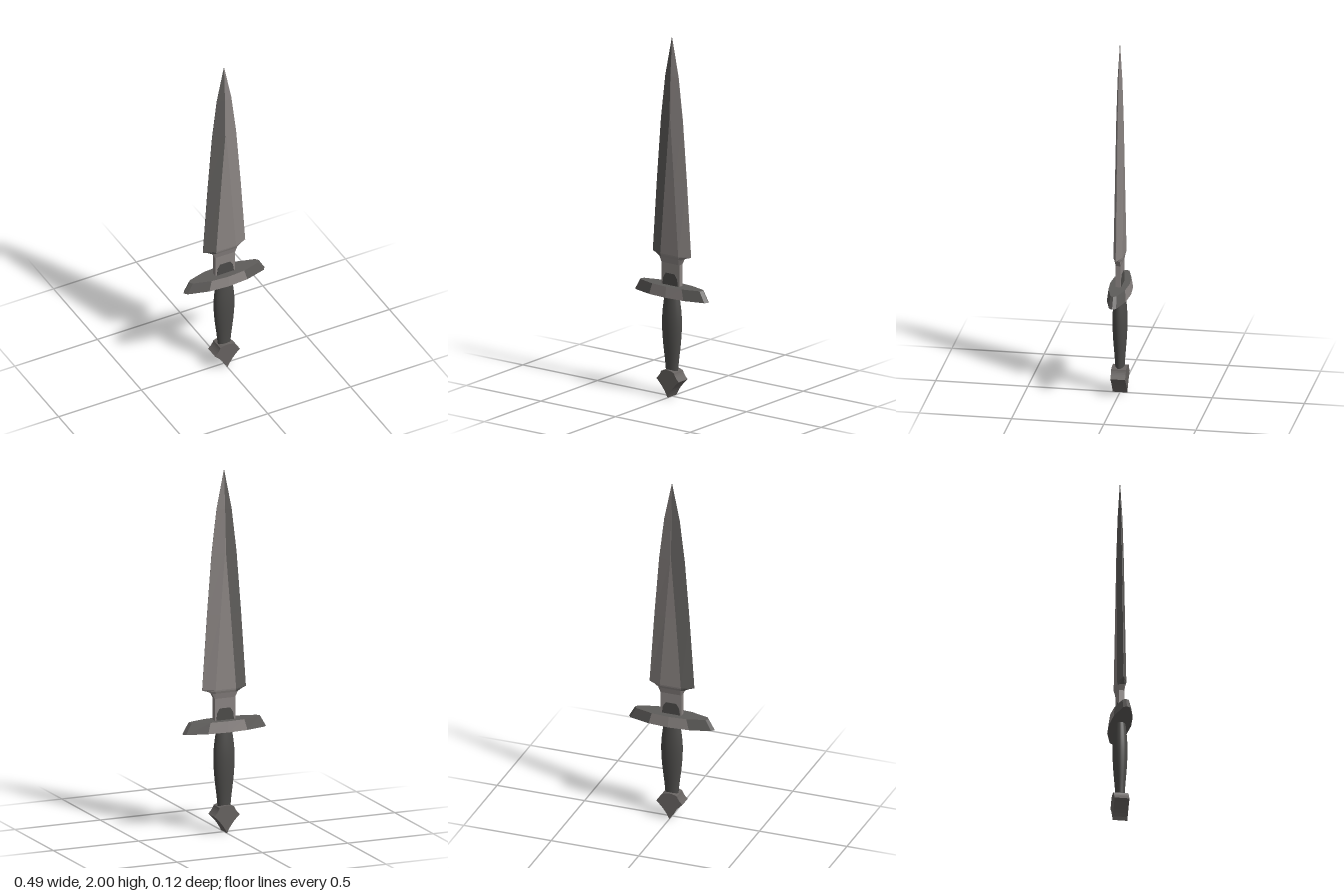
import * as THREE from 'three';

const mat = (name, color) => Object.assign(new THREE.MeshStandardMaterial({ color }), { name });

// Skins a stack of closed rings (each running +x, +z, -x, -z) with flat faces.
// isDark(level, side) picks material 1 instead of 0; both end caps use capIndex.
function loft(rings, isDark, capIndex) {
  const parts = [[], []];
  const n = rings[0].length;
  for (let i = 0; i < rings.length - 1; i++) {
    for (let j = 0; j < n; j++) {
      const k = (j + 1) % n;
      const a = rings[i][j], b = rings[i][k], c = rings[i + 1][j], d = rings[i + 1][k];
      parts[isDark(i, j) ? 1 : 0].push(b, a, c, b, c, d);
    }
  }
  const top = rings[rings.length - 1], bottom = rings[0];
  for (let j = 1; j < n - 1; j++) {
    parts[capIndex].push(bottom[0], bottom[j], bottom[j + 1], top[0], top[j + 1], top[j]);
  }
  const geo = new THREE.BufferGeometry();
  geo.setAttribute('position', new THREE.Float32BufferAttribute([...parts[0], ...parts[1]].flat(), 3));
  geo.addGroup(0, parts[0].length, 0);
  geo.addGroup(parts[0].length, parts[1].length, 1);
  geo.computeVertexNormals();
  return geo;
}

export function createModel() {
  const group = new THREE.Group();
  const steel = mat('lightSteel', 0x8a8482);
  const darkSteel = mat('darkSteel', 0x5e5c5a);
  const gripMat = mat('darkGrip', 0x4c4b49);
  const pommelMat = mat('pommelGrey', 0x666260);
  const add = (name, geo, material) => {
    const mesh = new THREE.Mesh(geo, material);
    mesh.name = name;
    group.add(mesh);
    return mesh;
  };

  // Blade: [height, half width, half flat, half thickness, half edge thickness]
  const sections = [
    [0.60, 0.06, 0.055, 0.014, 0.014],
    [0.74, 0.06, 0.055, 0.014, 0.014],
    [0.77, 0.075, 0.057, 0.02, 0.012],
    [0.782, 0.1, 0.06, 0.024, 0.006],
    [0.79, 0.128, 0.06, 0.025, 0.001],
    [1.20, 0.1, 0.03, 0.022, 0.001],
    [1.54, 0.073, 0.003, 0.02, 0.001],
    [1.78, 0.044, 0.001, 0.013, 0.001],
    [2.00, 0, 0, 0, 0],
  ];
  const bladeRings = sections.map(([y, w, r, t, e]) => [
    [w, y, e], [r, y, t], [-r, y, t], [-w, y, e],
    [-w, y, -e], [-r, y, -t], [r, y, -t], [w, y, -e],
  ]);
  add('blade', loft(bladeRings, (i, j) => i >= 2 && j >= 2 && j <= 4, 0), [steel, darkSteel]);

  // Guard: elongated faceted plate, narrower on top
  const guardRing = (y, sx, sz) => {
    const q = [[1, 0], [0.94, 0.32], [0.47, 0.85], [0, 1]];
    const half = [...q, ...q.slice(1, 3).reverse().map(([x, z]) => [-x, z])];
    return [...half, ...half.map(([x, z]) => [-x, -z])].map(([x, z]) => [x * sx, y, z * sz]);
  };
  const guard = loft(
    [guardRing(0.56, 0.245, 0.06), guardRing(0.62, 0.21, 0.053)],
    (i, j) => ![2, 3, 8, 9].includes(j), 1);
  add('guard', guard, [steel, darkSteel]);

  // Dark rounded collar plates at the foot of the blade, front and back
  const collarShape = new THREE.Shape([
    [-0.052, 0.615], [0.052, 0.615], [0.046, 0.66], [0.03, 0.685], [-0.03, 0.685], [-0.046, 0.66],
  ].map(([x, y]) => new THREE.Vector2(x, y)));
  for (const side of [1, -1]) {
    const collar = add(side > 0 ? 'frontCollar' : 'backCollar',
      new THREE.ExtrudeGeometry(collarShape, { depth: 0.003, bevelEnabled: false }), gripMat);
    collar.position.z = side > 0 ? 0.0135 : -0.0165;
  }

  // Grip: smooth swelling handle with an oval section
  const gripProfile = new THREE.SplineCurve([
    [0.036, 0.135], [0.042, 0.2], [0.055, 0.31], [0.06, 0.41], [0.055, 0.49], [0.043, 0.57],
  ].map(([x, y]) => new THREE.Vector2(x, y))).getPoints(14);
  const grip = add('grip', new THREE.LatheGeometry(gripProfile, 24), gripMat);
  grip.scale.z = 0.66;

  // Pommel: arrow-like block with concave lower sides
  const p = new THREE.Shape();
  p.moveTo(0, 0);
  p.quadraticCurveTo(0.025, 0.055, 0.075, 0.098);
  p.quadraticCurveTo(0.05, 0.12, 0.043, 0.143);
  p.quadraticCurveTo(0, 0.163, -0.043, 0.143);
  p.quadraticCurveTo(-0.05, 0.12, -0.075, 0.098);
  p.quadraticCurveTo(-0.025, 0.055, 0, 0);
  const pommel = new THREE.ExtrudeGeometry(p, { depth: 0.08, bevelEnabled: false, curveSegments: 6 });
  pommel.translate(0, 0, -0.04);
  add('pommel', pommel, pommelMat);

  return group;
}
